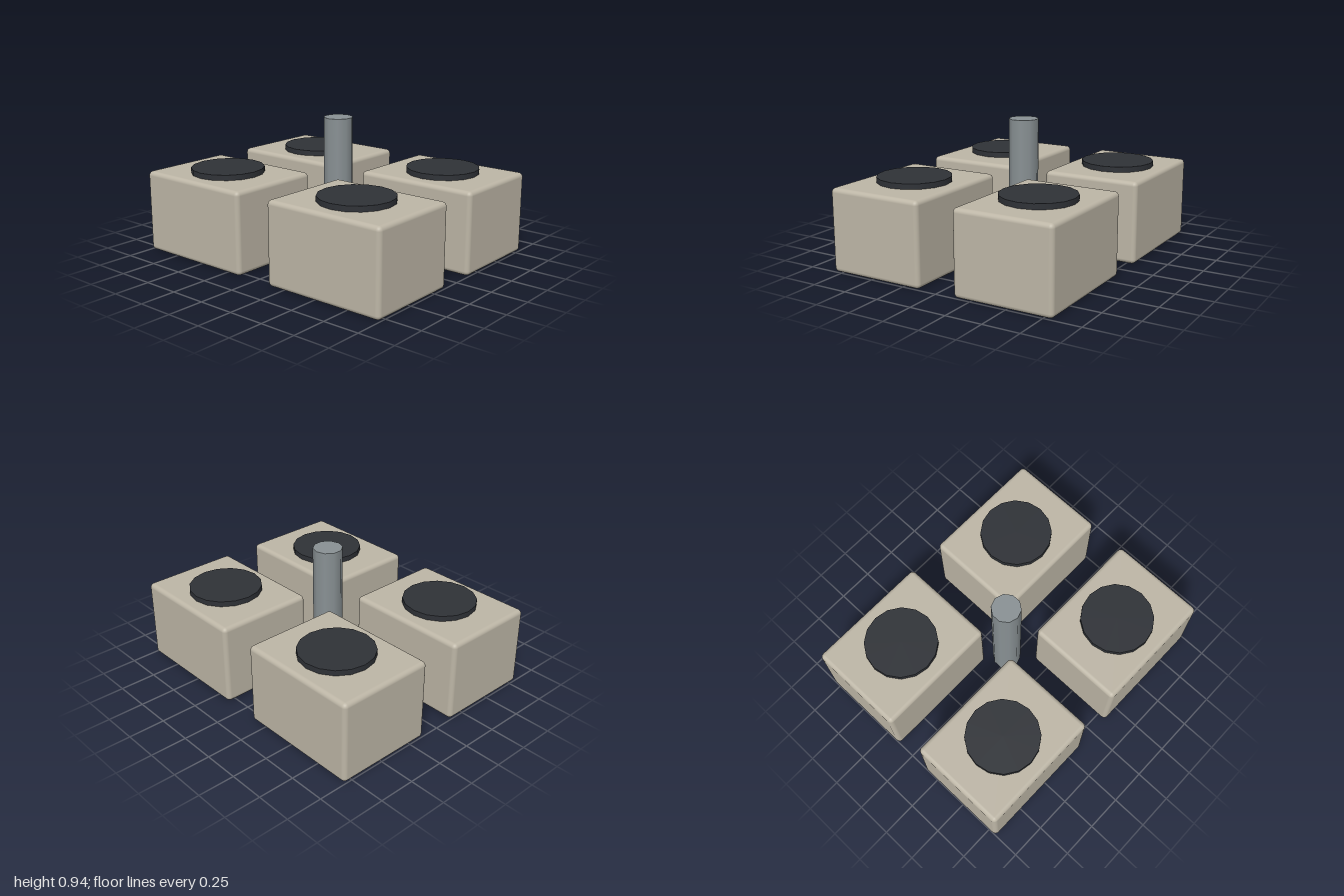
import * as THREE from 'three';
import { RoundedBoxGeometry } from 'three/addons/geometries/RoundedBoxGeometry.js';

export function createModel() {
  const model = new THREE.Group();
  const stone = new THREE.MeshStandardMaterial({ color: 0xbdb6a6 });
  const dark = new THREE.MeshStandardMaterial({ color: 0x2f3237 });
  const steel = new THREE.MeshStandardMaterial({ color: 0x899194 });

  const add = (parent, name, geometry, material, x, y, z) => {
    const mesh = new THREE.Mesh(geometry, material);
    mesh.name = name;
    mesh.position.set(x, y, z);
    parent.add(mesh);
  };

  // Four rounded blocks, each with a dark disc sunk slightly into its top
  const blockGeometry = new RoundedBoxGeometry(0.875, 0.563, 0.685, 3, 0.03);
  const discGeometry = new THREE.CylinderGeometry(0.25, 0.25, 0.06, 16);
  for (const [side, sx] of [['Left', 1], ['Right', -1]]) {
    for (const [end, sz] of [['front', 1], ['back', -1]]) {
      const unit = new THREE.Group();
      unit.name = `${end}${side}Unit`;
      unit.position.set(sx * 0.5625, 0, sz * 0.47);
      add(unit, 'block', blockGeometry, stone, 0, 0.2815, 0);
      add(unit, 'disc', discGeometry, dark, 0, 0.57, 0);
      model.add(unit);
    }
  }

  // Ten-sided post standing between the blocks, a little behind the centre
  add(model, 'centrePost', new THREE.CylinderGeometry(0.1, 0.1, 0.94, 10), steel, 0, 0.47, -0.031);

  return model;
}
